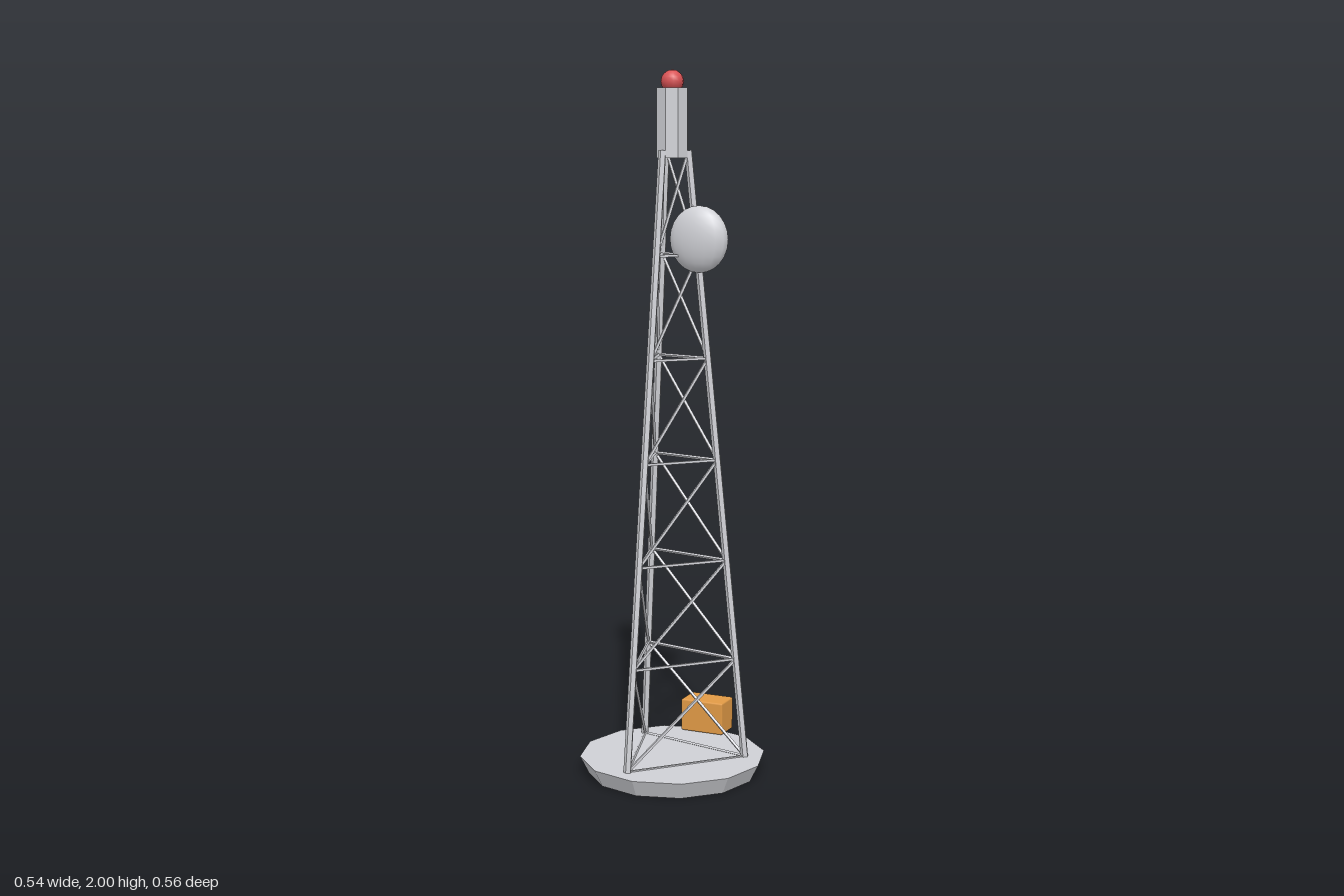
import * as THREE from 'three';
import { RoundedBoxGeometry } from 'three/addons/geometries/RoundedBoxGeometry.js';

const paint = (name, color) => {
  const m = new THREE.MeshStandardMaterial({ color });
  m.name = name;
  return m;
};

export function createModel() {
  const grey = paint('pale grey metal', 0xcfd0d5);
  const orange = paint('cabinet orange', 0xe29b46);
  const red = paint('beacon red', 0xda5355);

  const model = new THREE.Group();
  model.name = 'latticeTower';
  const tower = new THREE.Group();
  tower.name = 'tower';
  tower.position.z = 0.01;
  model.add(tower);

  const add = (name, geometry, material, x = 0, y = 0, z = 0, parent = tower) => {
    const mesh = new THREE.Mesh(geometry, material);
    mesh.name = name;
    mesh.position.set(x, y, z);
    parent.add(mesh);
    return mesh;
  };

  // Cylinder with crisp facets
  const prism = (rTop, rBottom, height, sides) => {
    const g = new THREE.CylinderGeometry(rTop, rBottom, height, sides).toNonIndexed();
    g.computeVertexNormals();
    return g;
  };

  // Straight bar between two points
  const up = new THREE.Vector3(0, 1, 0);
  const bar = (name, a, b, radius, sides) => {
    const dir = b.clone().sub(a);
    const mesh = add(name, prism(radius, radius, dir.length(), sides), grey);
    mesh.position.copy(a).add(b).multiplyScalar(0.5);
    mesh.quaternion.setFromUnitVectors(up, dir.normalize());
  };

  // Foundation slab
  add('foundation', prism(0.268, 0.243, 0.05, 12), grey, 0, 0.025, 0);

  // Point on a leg's centre line: legs lean inward from base to head
  const y0 = 0.05, y1 = 1.78, panels = 6;
  const legPoint = (leg, level) => {
    const t = level / panels;
    const r = THREE.MathUtils.lerp(0.21, 0.045, t);
    const a = THREE.MathUtils.degToRad(102.4 - 120 * leg);
    return new THREE.Vector3(r * Math.cos(a), THREE.MathUtils.lerp(y0, y1, t), r * Math.sin(a));
  };

  // Three legs with a horizontal and a diagonal brace in every panel
  for (let leg = 0; leg < 3; leg++) {
    bar('leg', legPoint(leg, 0), legPoint(leg, panels), 0.0115, 5);
    for (let i = 0; i < panels; i++) {
      bar('horizontalBrace', legPoint(leg, i), legPoint(leg + 1, i), 0.005, 4);
      bar('diagonalBrace', legPoint(leg, i), legPoint(leg + 1, i + 1), 0.005, 4);
    }
  }

  // Antenna head and warning beacon
  add('antennaHead', prism(0.046, 0.046, 0.19, 8), grey, 0, 1.855, 0);
  add('beacon', new THREE.SphereGeometry(0.032, 12, 8), red, 0, 1.968, 0);

  // Flattened dish on the left leg
  add('dish', new THREE.SphereGeometry(1, 16, 12), grey, 0.081, 1.537, 0)
    .scale.set(0.088, 0.093, 0.041);

  // Equipment cabinet behind the tower
  add('equipmentCabinet', new RoundedBoxGeometry(0.134, 0.097, 0.085, 1, 0.005), orange, 0, 0.1, -0.24, model);

  return model;
}
